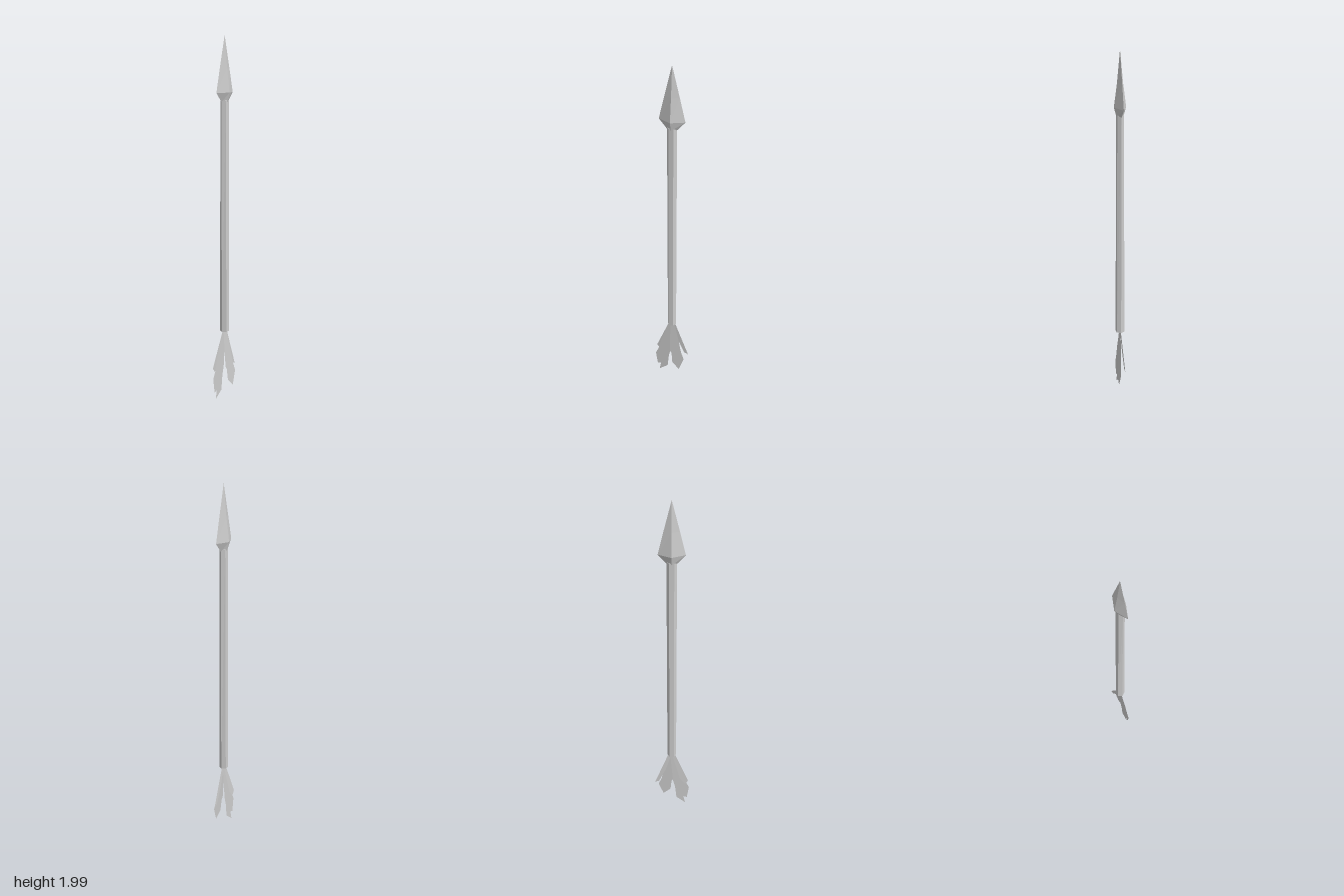
import * as THREE from 'three';

const grey = new THREE.MeshStandardMaterial({ color: 0xcccccc, flatShading: true, side: THREE.DoubleSide });

// Stacks cross-sections [y, halfX, halfZ] with the given number of sides, corners on the x axis.
function loft(name, sides, rings) {
  const pos = [];
  const point = ([y, rx, rz], k) => {
    const a = (k / sides) * Math.PI * 2;
    return [Math.cos(a) * rx, y, Math.sin(a) * rz];
  };
  for (let i = 0; i < rings.length - 1; i++) {
    for (let k = 0; k < sides; k++) {
      const a = point(rings[i], k), b = point(rings[i], k + 1);
      const c = point(rings[i + 1], k), d = point(rings[i + 1], k + 1);
      pos.push(...a, ...c, ...b, ...b, ...c, ...d);
    }
  }
  const geo = new THREE.BufferGeometry();
  geo.setAttribute('position', new THREE.Float32BufferAttribute(pos, 3));
  geo.computeVertexNormals();
  const mesh = new THREE.Mesh(geo, grey);
  mesh.name = name;
  return mesh;
}

// Thin ragged feather that leans in z as it falls away from the shaft.
function feather(name, outline, lean) {
  const geo = new THREE.ShapeGeometry(new THREE.Shape(outline.map(([x, y]) => new THREE.Vector2(x, y))));
  const p = geo.attributes.position;
  for (let i = 0; i < p.count; i++) p.setZ(i, (0.39 - p.getY(i)) * lean);
  geo.computeVertexNormals();
  const mesh = new THREE.Mesh(geo, grey);
  mesh.name = name;
  return mesh;
}

export function createModel() {
  const arrow = new THREE.Group();
  arrow.name = 'arrow';

  // Diamond-section point, closed at both ends
  arrow.add(loft('arrowhead', 4, [
    [1.64, 0, 0], [1.65, 0.028, 0.019], [1.70, 0.071, 0.033], [1.83, 0.041, 0.016], [2, 0, 0],
  ]));

  // Six-sided shaft with a closed tail
  arrow.add(loft('shaft', 6, [
    [0.386, 0, 0], [0.386, 0.025, 0.0255], [1.66, 0.027, 0.021], [1.66, 0, 0],
  ]));

  // Ragged tail feathers
  const feathers = new THREE.Group();
  feathers.name = 'tailFeathers';
  feathers.add(
    feather('longFeather', [
      [-0.012, 0.39], [-0.06, 0.26], [-0.085, 0.17], [-0.102, 0.13], [-0.09, 0.05], [-0.07, 0.057],
      [-0.08, 0.008], [-0.028, 0.05], [-0.02, 0.13], [-0.008, 0.18], [0.01, 0.39],
    ], -0.003),
    feather('leftShortFeather', [
      [-0.017, 0.39], [-0.096, 0.19], [-0.078, 0.165], [-0.05, 0.2], [0, 0.39],
    ], -0.04),
    feather('middleFeather', [
      [-0.01, 0.39], [-0.008, 0.18], [0.002, 0.165], [0.008, 0.1], [0.05, 0.06],
      [0.078, 0.14], [0.06, 0.19], [0.045, 0.26], [0.014, 0.39],
    ], 0.06),
    feather('rightShortFeather', [
      [0, 0.39], [0.035, 0.27], [0.075, 0.18], [0.099, 0.17], [0.018, 0.39],
    ], -0.015),
  );
  arrow.add(feathers);
  return arrow;
}
